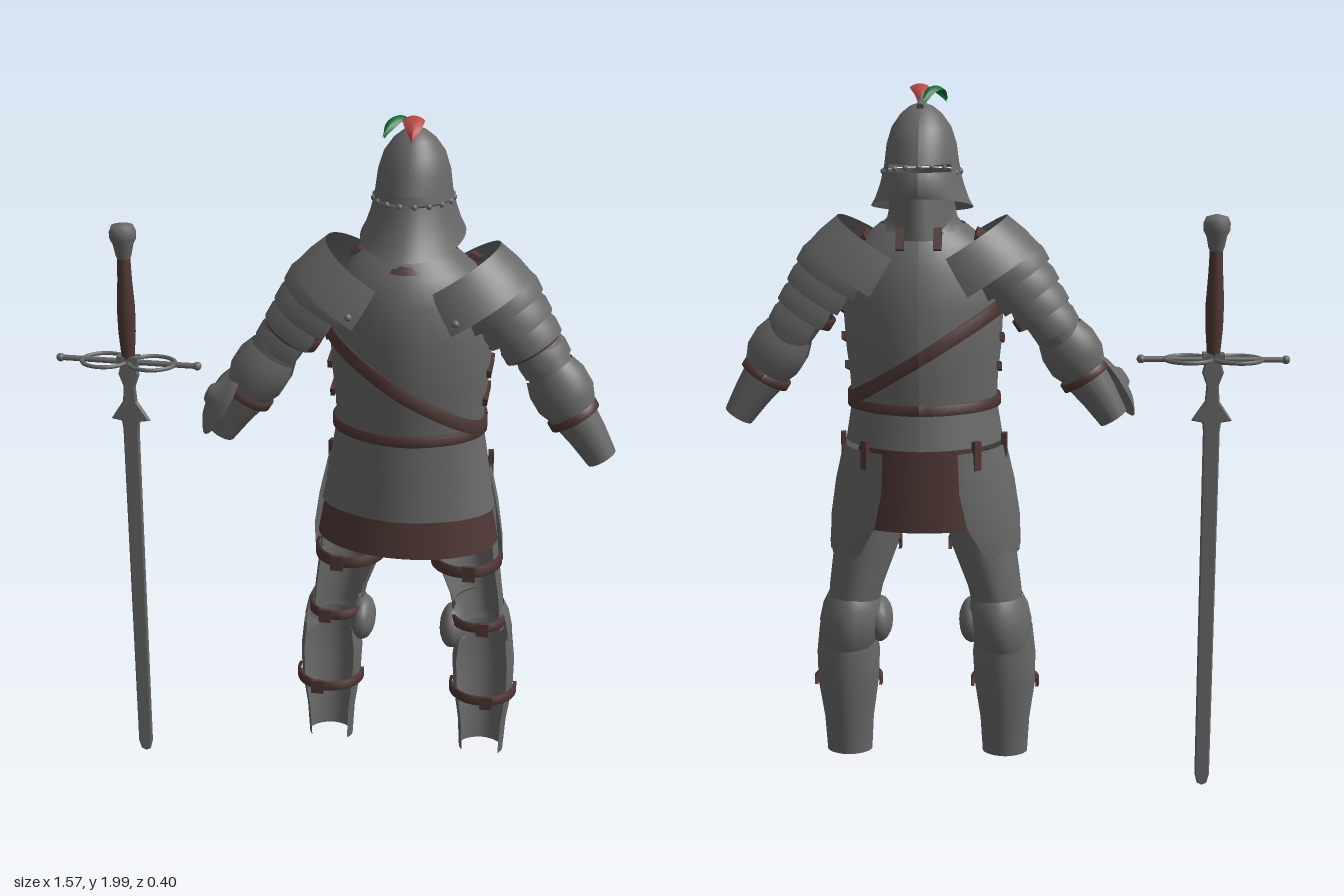
import * as THREE from 'three';

const mat = (name, color) => {
  const m = new THREE.MeshStandardMaterial({ color, side: THREE.DoubleSide });
  m.name = name;
  return m;
};
const rad = THREE.MathUtils.degToRad;

// Smooth grid surface from a function (u, v) -> [x, y, z]
function grid(nu, nv, fn) {
  const pos = [], idx = [];
  for (let j = 0; j <= nv; j++)
    for (let i = 0; i <= nu; i++) pos.push(...fn(i / nu, j / nv));
  for (let j = 0; j < nv; j++)
    for (let i = 0; i < nu; i++) {
      const a = j * (nu + 1) + i, b = a + nu + 1;
      idx.push(a, b, a + 1, b, b + 1, a + 1);
    }
  const g = new THREE.BufferGeometry();
  g.setAttribute('position', new THREE.Float32BufferAttribute(pos, 3));
  g.setIndex(idx);
  g.computeVertexNormals();
  return g;
}

// Plate through rings [y, rx, back depth, front depth, cx, cz, tilt]; angle 0 is +z, 90 is +x.
// taper narrows the arc ring by ring, peak adds a keel at front and back.
function loft(rings, { a0 = -180, a1 = 180, peak = 0, taper, seg = 40 } = {}) {
  const n = rings.length - 1, mid = (a0 + a1) / 2, half = (a1 - a0) / 2;
  return grid(seg, n, (u, v) => {
    const k = Math.round(v * n), [y, rx, zb, zf, cx = 0, cz = 0, tilt = 0] = rings[k];
    const a = rad(mid + half * (2 * u - 1) * (taper ? taper[k] : 1));
    const c = Math.cos(a), d = (c > 0 ? zb : zf) * c * (1 + peak * c ** 12);
    return [cx + rx * Math.sin(a), y + tilt * c, cz + d];
  });
}

// Thin strap with a rectangular section; ringAt(angle) -> [x, y, z] on the surface
function strap(ringAt, h, a0 = -180, a1 = 180, t = 0.01) {
  const prof = [[0, h / 2], [t, h / 2], [t, -h / 2], [0, -h / 2]];
  return grid(48, 3, (u, v) => {
    const a = rad(a0 + (a1 - a0) * u), [o, dy] = prof[Math.round(v * 3)];
    const [x, y, z] = ringAt(a);
    return [x + o * Math.sin(a), y + dy, z + o * Math.cos(a)];
  });
}

const TORSO = [
  [1.14, 0.2, 0.16, 0.17], [1.22, 0.204, 0.168, 0.176], [1.3, 0.213, 0.182, 0.182],
  [1.42, 0.22, 0.19, 0.182], [1.52, 0.205, 0.182, 0.165], [1.59, 0.17, 0.15, 0.135],
  [1.635, 0.115, 0.11, 0.105],
];
function torsoPoint(a, y) {
  let i = 0;
  while (i < TORSO.length - 2 && TORSO[i + 1][0] < y) i++;
  const p = TORSO[i], q = TORSO[i + 1], t = (y - p[0]) / (q[0] - p[0]);
  const [, rx, zb, zf] = p.map((v, k) => v + (q[k] - v) * t), c = Math.cos(a);
  return [(rx + 0.001) * Math.sin(a), y, ((c > 0 ? zb : zf) + 0.001) * c * (1 + 0.04 * c ** 12)];
}

export function createModel() {
  const steel = mat('steel', 0x686868), leather = mat('leather', 0x4f3735);
  const red = mat('red feather', 0xb54a45), green = mat('green feather', 0x0c6b38);
  const model = new THREE.Group();
  const add = (parent, name, geo, m = steel, p = [0, 0, 0], r = [0, 0, 0]) => {
    const mesh = new THREE.Mesh(geo, m);
    mesh.name = name;
    mesh.position.set(...p);
    mesh.rotation.set(...r);
    parent.add(mesh);
    return mesh;
  };
  const box = (...s) => new THREE.BoxGeometry(...s);
  const ball = (r) => new THREE.SphereGeometry(r, 16, 10);

  const knight = new THREE.Group();
  knight.name = 'armour';
  knight.position.x = 0.22;
  model.add(knight);

  // Cuirass, collar and bevor
  add(knight, 'cuirass', loft(TORSO, { peak: 0.04 }));
  add(knight, 'collarLining', loft([[1.6, 0.112, 0.15, 0.12], [1.645, 0.09, 0.1, 0.1]]), leather);
  add(knight, 'gorget', loft([[1.62, 0.12, 0.11, 0.13], [1.65, 0.095, 0.085, 0.115], [1.7, 0.085, 0.07, 0.11]]));
  add(knight, 'bevor', loft([[1.6, 0.1, 0.1, 0.14], [1.66, 0.09, 0.1, 0.135], [1.75, 0.09, 0.1, 0.125]], { a0: 100, a1: 260, peak: 0.05 }));

  // Fauld lames and cloth skirt
  [[1.15, 1.04, 0.2, 0.218, 0], [1.06, 0.97, 0.214, 0.23, 0.008], [0.99, 0.91, 0.224, 0.24, 0.012]].forEach(([t, b, r0, r1, d], i) =>
    add(knight, 'fauldLame', loft([[t, r0, r0 - 0.045, r0 - 0.03], [b, r1, r1 - 0.06, r1 - 0.033, 0, 0, d]],
      i < 2 - 0 && i === 0 ? { peak: 0.04 } : { a0: -98, a1: 98, peak: 0.04 })));
  add(knight, 'backCloth', loft([[0.98, 0.222, 0.155, 0.16], [0.81, 0.252, 0.178, 0.17]], { a0: -92, a1: 92 }), leather);
  add(knight, 'frontCloth', loft([[1.05, 0.21, 0.15, 0.178], [0.81, 0.235, 0.16, 0.182]], { a0: 125, a1: 235 }), leather);

  // Waist belt and shoulder belt
  add(knight, 'waistBelt', strap((a) => torsoPoint(a, 1.15), 0.028), leather);
  add(knight, 'shoulderBelt', strap((a) => torsoPoint(a, 1.29 - 0.135 * Math.sin(a)), 0.04), leather);

  // Helmet: skull, back of the eye slit, flared brim
  const helmet = new THREE.Group();
  helmet.name = 'helmet';
  knight.add(helmet);
  add(helmet, 'skull', loft([[1.955, 0.002, 0.002, 0.002], [1.945, 0.03, 0.035, 0.03], [1.925, 0.055, 0.063, 0.058],
    [1.89, 0.08, 0.09, 0.093], [1.845, 0.094, 0.108, 0.117], [1.797, 0.1, 0.12, 0.13]], { peak: 0.03 }));
  add(helmet, 'browBand', loft([[1.797, 0.1, 0.12, 0.13], [1.775, 0.104, 0.124, 0.135]], { a0: -125, a1: 125 }));
  add(helmet, 'brim', loft([[1.775, 0.104, 0.124, 0.145, 0, 0, -0.004], [1.74, 0.112, 0.14, 0.155, 0, 0, -0.015],
    [1.70, 0.126, 0.168, 0.155, 0, 0, -0.025], [1.678, 0.138, 0.19, 0.15, 0, 0, -0.033]], { peak: 0.04 }));
  for (let i = 0; i < 12; i++) {
    const a = rad(-115 + i * 230 / 11);
    add(helmet, 'rivet', ball(0.008), steel, [0.104 * Math.sin(a), 1.772, 0.124 * Math.cos(a)]);
  }
  add(helmet, 'plumeHolder', new THREE.CylinderGeometry(0.006, 0.01, 0.05, 8), steel, [0, 1.955, -0.02], [1.1, 0, 0]);

  // Two curved feathers
  const feather = (name, m, dx, len, top, w) => add(helmet, name, grid(6, 14, (u, v) => {
    const s = 2 * u - 1, half = w * Math.sin(Math.PI * Math.min(0.97, 0.06 + 0.94 * v ** 1.3));
    return [dx * v + s * half, 1.95 + top * Math.sin(Math.PI * v * 0.94) - 0.01 * s * s, len * v];
  }), m);
  feather('redFeather', red, 0.02, 0.185, 0.05, 0.028);
  feather('greenFeather', green, -0.06, 0.14, 0.045, 0.02);

  // One side of limbs and hip plates, mirrored for the other
  for (const s of [1, -1]) {
    const side = new THREE.Group();
    side.name = s > 0 ? 'leftSide' : 'rightSide';
    side.scale.x = s;
    knight.add(side);

    // Hip plate with hanging straps
    add(side, 'tasset', loft([[1.03, 0.225, 0.17, 0.2], [0.92, 0.25, 0.17, 0.2], [0.82, 0.265, 0.17, 0.2],
      [0.74, 0.27, 0.17, 0.19], [0.7, 0.27, 0.17, 0.185]], { a0: 83, a1: 155, taper: [0.95, 1, 0.9, 0.62, 0.2] }));
    for (const a of [100, 138])
      add(side, 'tassetStrap', box(0.022, 0.08, 0.014), leather,
        [0.226 * Math.sin(rad(a)), 1.02, 0.2 * Math.cos(rad(a))], [0, rad(a), 0]);

    // Leg plates, open at the back and closed by straps
    const thigh = [[0.9, 0.1, 0.08, 0.105, 0.14, -0.02], [0.74, 0.09, 0.075, 0.1, 0.165, -0.03],
      [0.62, 0.075, 0.065, 0.085, 0.195, -0.035], [0.52, 0.068, 0.06, 0.08, 0.21, -0.035]];
    add(side, 'cuisse', loft(thigh, { a0: 62, a1: 298, peak: 0.04 }));
    add(side, 'poleyn', loft([[0.595, 0.07, 0.065, 0.085, 0.205, -0.035], [0.565, 0.085, 0.08, 0.1, 0.205, -0.035],
      [0.52, 0.09, 0.085, 0.106, 0.21, -0.035], [0.475, 0.085, 0.08, 0.1, 0.215, -0.035], [0.445, 0.074, 0.07, 0.088, 0.22, -0.035]],
    { a0: 65, a1: 295, peak: 0.04 }));
    add(side, 'kneeWing', ball(1), steel, [0.13, 0.515, -0.03]).scale.set(0.036, 0.065, 0.07);
    add(side, 'greave', loft([[0.5, 0.08, 0.08, 0.085, 0.222, -0.03], [0.42, 0.089, 0.08, 0.085, 0.222, -0.03],
      [0.33, 0.086, 0.075, 0.08, 0.224, -0.03], [0.22, 0.07, 0.06, 0.06, 0.224, -0.03],
      [0.12, 0.064, 0.05, 0.05, 0.224, -0.03]], { a0: 55, a1: 305, peak: 0.04 }));
    for (const [y, cx, rx, rz, h] of [[0.74, 0.165, 0.09, 0.105, 0.03], [0.555, 0.205, 0.07, 0.075, 0.025], [0.33, 0.224, 0.087, 0.09, 0.025]]) {
      add(side, 'legStrap', strap((a) => [cx + rx * Math.sin(a), y, -0.025 + rz * Math.cos(a)], h, -100, 100), leather);
      add(side, 'legBuckle', box(0.035, h + 0.014, 0.012), leather, [cx + 0.02, y, rz - 0.012]);
    }

    // Arm in its own frame: -y runs to the wrist, +x faces outward
    const arm = new THREE.Group();
    arm.name = 'arm';
    arm.position.set(0.2, 1.6, 0);
    arm.rotation.z = 0.567;
    side.add(arm);
    add(arm, 'shoulderPlate', loft([[0.03, 0.165, 0.155, 0.15, -0.11], [-0.03, 0.185, 0.175, 0.165, -0.11], [-0.085, 0.195, 0.185, 0.17, -0.11]],
      { a0: -8, a1: 188 }));
    for (let i = 0; i < 4; i++) {
      const y = -0.055 - i * 0.06, r = 0.125 - i * 0.014, x = -0.035 + i * 0.008;
      add(arm, 'shoulderLame', loft([[y, r - 0.012, r, r - 0.005, x], [y - 0.04, r, r + 0.005, r, x], [y - 0.075, r - 0.002, r, r - 0.005, x]],
        { a0: -35, a1: 215 }));
    }
    add(arm, 'shoulderRivet', ball(0.01), steel, [-0.11, -0.06, 0.185]);
    add(arm, 'upperArm', loft([[-0.1, 0.075, 0.08, 0.08], [-0.26, 0.068, 0.07, 0.068, 0, 0.01], [-0.4, 0.06, 0.06, 0.06, 0, 0.025]]));
    add(arm, 'armStrap', strap((a) => [0.07 * Math.sin(a) - 0.012, -0.24, 0.01 + 0.075 * Math.cos(a)], 0.03), leather);
    add(arm, 'elbowPlate', loft([[-0.32, 0.07, 0.065, 0.065, 0, 0.025], [-0.36, 0.083, 0.078, 0.075, 0, 0.025],
      [-0.41, 0.083, 0.078, 0.075, 0, 0.027], [-0.45, 0.066, 0.065, 0.062, 0, 0.03]], { a0: -70, a1: 250 }));
    add(arm, 'forearm', loft([[-0.38, 0.064, 0.062, 0.06, -0.005, 0.028], [-0.45, 0.063, 0.06, 0.058, -0.005, 0.03],
      [-0.53, 0.052, 0.05, 0.05, 0, 0.03], [-0.605, 0.042, 0.042, 0.042, 0, 0.03]]));
    add(arm, 'forearmStrap', strap((a) => [-0.005 + 0.062 * Math.sin(a), -0.46, 0.03 + 0.06 * Math.cos(a)], 0.022), leather);

    // Shoulder and flank straps
    add(side, 'shoulderStrap', box(0.03, 0.014, 0.08), leather, [0.16, 1.605, -0.05], [-0.2, 0, -0.5]);
    add(side, 'collarStrap', box(0.022, 0.06, 0.012), leather, [0.05, 1.605, -0.138], [0.4, 0, 0]);
    for (const y of [1.24, 1.32, 1.4])
      add(side, 'flankStrap', box(0.012, 0.022, 0.09), leather, [torsoPoint(Math.PI / 2, y)[0], y, 0], [0.25, 0, 0]);
  }

  // Small domed shield on the right forearm
  const shield = add(knight, 'buckler', new THREE.LatheGeometry(
    [[0.001, 0.04], [0.025, 0.035], [0.04, 0.018], [0.075, 0.012], [0.1, -0.002], [0.108, -0.008]].map((p) => new THREE.Vector2(...p)), 32),
  steel, [-0.525, 1.19, 0.04]);
  shield.quaternion.setFromUnitVectors(new THREE.Vector3(0, 1, 0), new THREE.Vector3(-0.8, 0.5, 0.28).normalize());

  // Sword, standing point down
  const sword = new THREE.Group();
  sword.name = 'sword';
  sword.position.x = -0.575;
  model.add(sword);
  const outline = [[0, 0.005], [0.014, 0.012], [0.021, 0.04], [0.023, 1.06], [0.026, 1.085], [0.056, 1.09], [0.04, 1.115],
    [0.02, 1.145], [0.017, 1.19], [0.03, 1.225], [0.02, 1.26]];
  const shape = new THREE.Shape([...outline, ...outline.slice(1).reverse().map(([x, y]) => [-x, y])].map((p) => new THREE.Vector2(...p)));
  const blade = new THREE.ExtrudeGeometry(shape, { depth: 0.006, bevelEnabled: true, bevelThickness: 0.004, bevelSize: 0.004, bevelOffset: -0.004, bevelSegments: 1 });
  add(sword, 'blade', blade.translate(0, 0, -0.003));
  add(sword, 'crossguard', new THREE.CylinderGeometry(0.008, 0.008, 0.4, 10), steel, [0, 1.262, 0], [0, 0, Math.PI / 2]);
  add(sword, 'guardBlock', box(0.06, 0.03, 0.035), steel, [0, 1.265, 0]);
  for (const s of [-1, 1]) {
    add(sword, 'guardTip', ball(0.012), steel, [s * 0.198, 1.262, 0]);
    add(sword, 'guardRing', new THREE.TorusGeometry(0.06, 0.006, 8, 32), steel, [s * 0.068, 1.262, 0], [Math.PI / 2, 0, 0]).scale.x = 1.08;
  }
  const lathe = (pts) => new THREE.LatheGeometry(pts.map((p) => new THREE.Vector2(...p)), 20);
  add(sword, 'grip', lathe([[0.018, 1.275], [0.024, 1.35], [0.025, 1.42], [0.02, 1.5], [0.018, 1.56]]), leather);
  add(sword, 'pommel', lathe([[0.016, 1.555], [0.022, 1.57], [0.028, 1.6], [0.036, 1.615], [0.037, 1.635], [0.03, 1.652], [0.001, 1.66]]));

  return model;
}
